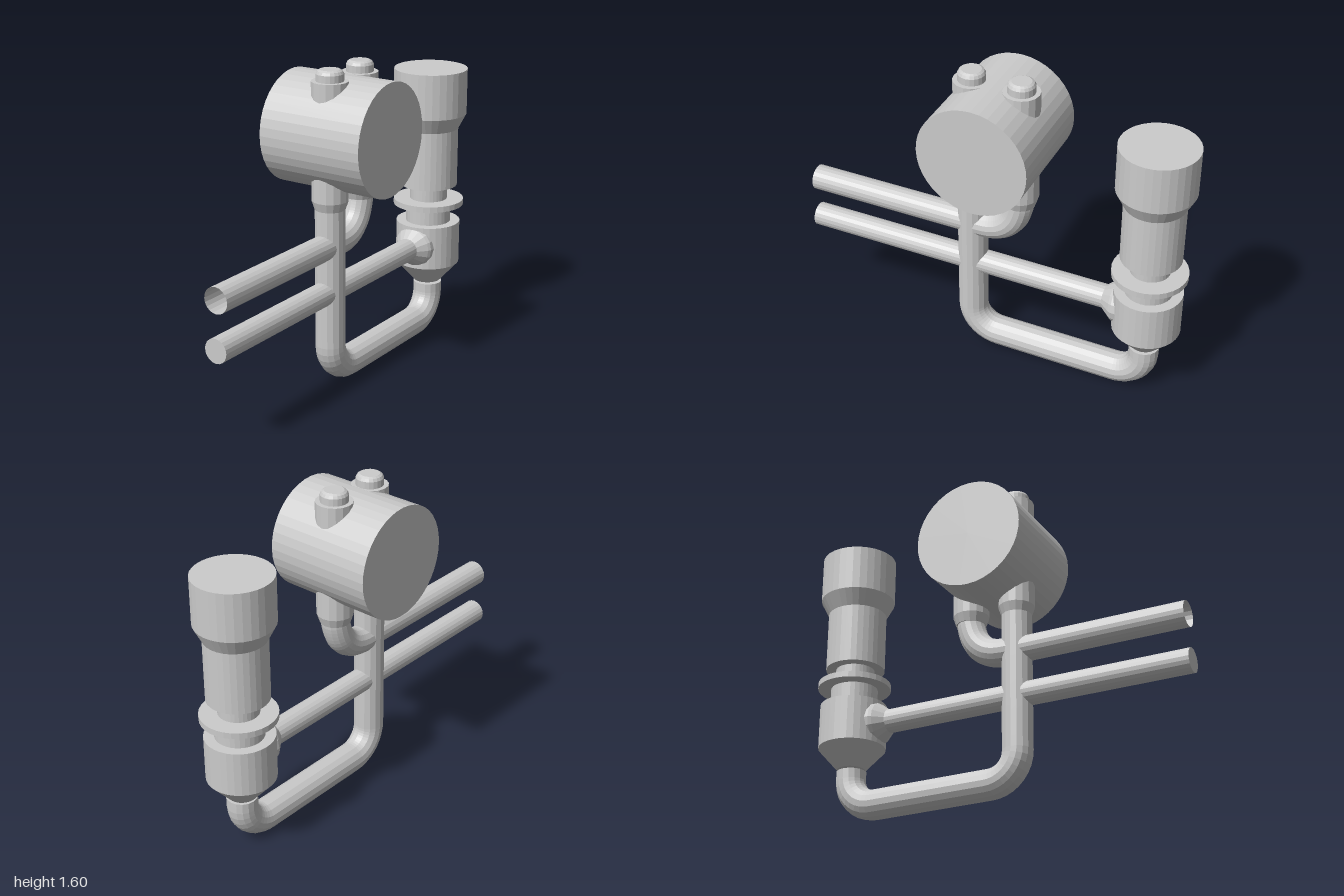
import * as THREE from 'three';

const X = 0.01; // shared centre plane of the pipework

export function createModel() {
  const model = new THREE.Group();
  const flat = new THREE.MeshStandardMaterial({ color: 0xcccccc, flatShading: true });
  const open = new THREE.MeshStandardMaterial({ color: 0xcccccc, flatShading: true, side: THREE.DoubleSide });

  const add = (name, geometry, material = flat) => {
    const mesh = new THREE.Mesh(geometry, material);
    mesh.name = name;
    model.add(mesh);
    return mesh;
  };
  const lathe = (points, sides) =>
    new THREE.LatheGeometry(points.map(([r, y]) => new THREE.Vector2(r, y)), sides);
  const at = (z, y) => new THREE.Vector3(X, y, z);

  // Straight horizontal pipe running along z
  const straightPipe = (name, y, z0, z1, r, hollow) => {
    const g = new THREE.CylinderGeometry(r, r, z1 - z0, 20, 1, hollow);
    g.rotateX(Math.PI / 2);
    add(name, g, hollow ? open : flat).position.set(X, y, (z0 + z1) / 2);
  };

  // Horizontal drum
  const drum = new THREE.CylinderGeometry(0.279, 0.279, 0.558, 40);
  drum.rotateZ(Math.PI / 2);
  add('drum', drum).position.set(-0.004, 1.27, -0.005);

  // Two fittings passing through the drum, each with a bevelled cap
  const fitting = [[0, 0.92], [0.075, 0.92], [0.09, 0.965], [0.09, 1.545], [0, 1.545]];
  const cap = [[0.067, 1.54], [0.067, 1.58], [0.06, 1.593], [0.048, 1.6], [0, 1.6]];
  [['front', 0.113], ['rear', -0.139]].forEach(([side, z]) => {
    add(side + 'Fitting', lathe(fitting, 16)).position.set(X, 0, z);
    add(side + 'Cap', lathe(cap, 20)).position.set(X, 0, z);
  });

  // Post that bends under and up into the flask
  const zPost = 0.113, zFlask = -0.81, yLow = 0.076, bend = 0.145;
  const loop = new THREE.CurvePath();
  const k = bend * 0.5523; // handle length for a quarter circle
  loop.add(new THREE.LineCurve3(at(zPost, 0.94), at(zPost, yLow + bend)));
  loop.add(new THREE.CubicBezierCurve3(
    at(zPost, yLow + bend), at(zPost, yLow + bend - k),
    at(zPost - bend + k, yLow), at(zPost - bend, yLow)));
  loop.add(new THREE.LineCurve3(at(zPost - bend, yLow), at(zFlask + bend, yLow)));
  loop.add(new THREE.CubicBezierCurve3(
    at(zFlask + bend, yLow), at(zFlask + bend - k, yLow),
    at(zFlask, yLow + bend - k), at(zFlask, yLow + bend)));
  loop.add(new THREE.LineCurve3(at(zFlask, yLow + bend), at(zFlask, 0.265)));
  add('loopPipe', new THREE.TubeGeometry(loop, 72, 0.075, 16));
  const end = new THREE.CircleGeometry(0.075, 16);
  end.rotateX(-Math.PI / 2);
  add('loopPipeEnd', end).position.set(X, 0.265, zFlask);

  // Elbow from the rear fitting into the post
  const elbow = new THREE.CatmullRomCurve3([
    at(-0.139, 0.95), at(-0.137, 0.91), at(-0.108, 0.825), at(-0.06, 0.772), at(0, 0.745), at(0.11, 0.736),
  ]);
  add('rearElbow', new THREE.TubeGeometry(elbow, 20, 0.07, 16));

  // Long pipes
  straightPipe('upperPipe', 0.736, 0.1, 0.99, 0.064, true);
  straightPipe('lowerPipe', 0.5, -0.66, 1, 0.06, false);

  // Flared joint between the lower pipe and the flask
  const joint = lathe([[0.11, -0.71], [0.108, -0.66], [0.1, -0.645], [0.06, -0.595]], 16);
  joint.rotateX(Math.PI / 2);
  add('flaskJoint', joint, open).position.set(X, 0.5, 0);

  // Upright flask with flange and wide head
  add('flask', lathe([
    [0, 0.275], [0.07, 0.275], [0.168, 0.385], [0.168, 0.612], [0.118, 0.612],
    [0.118, 0.705], [0.184, 0.705], [0.184, 0.735], [0.098, 0.735], [0.098, 0.812],
    [0.149, 0.812], [0.149, 1.12], [0.19, 1.2], [0.19, 1.435], [0, 1.435],
  ], 32)).position.set(0.006, 0, zFlask);

  return model;
}
